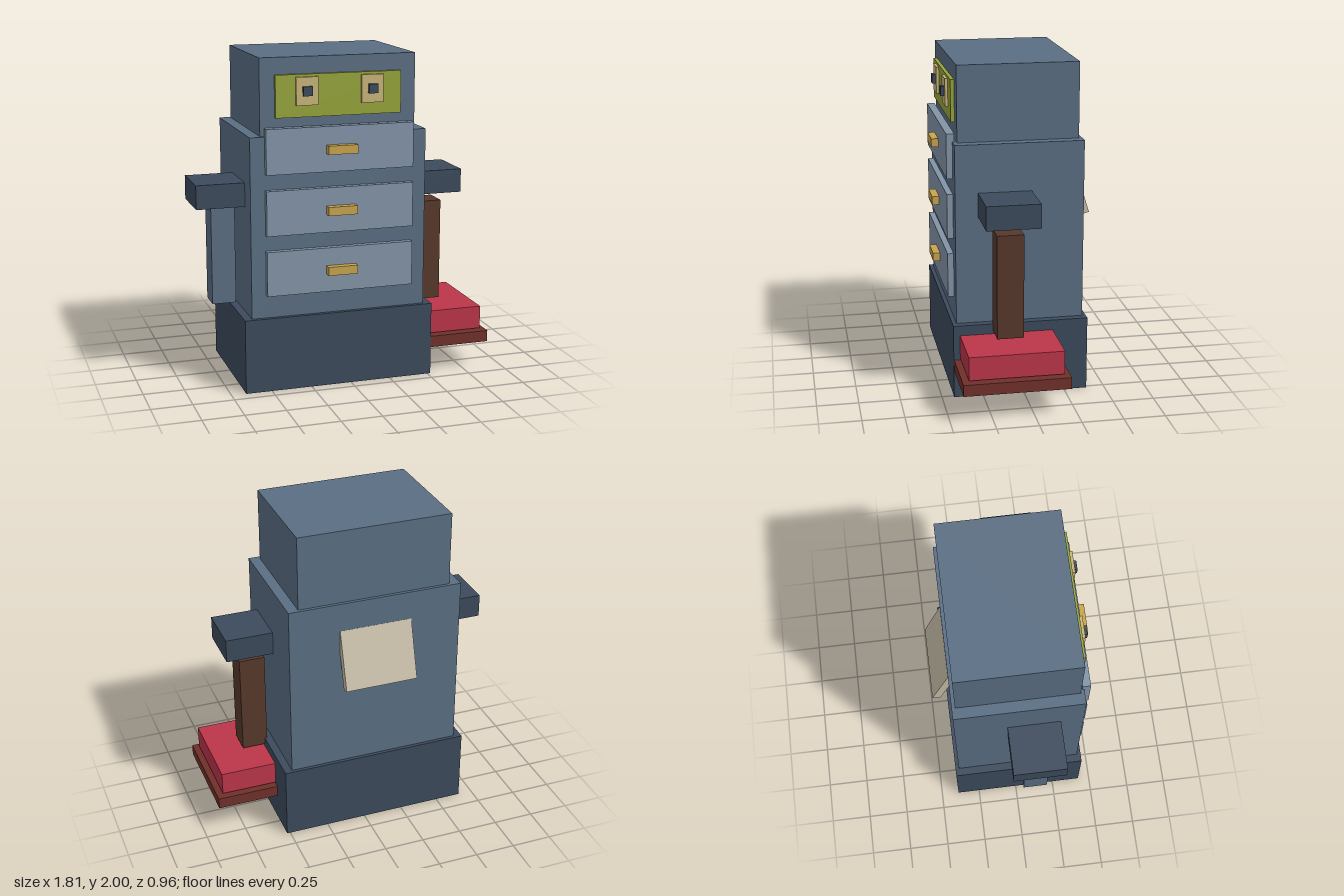
import * as THREE from 'three';

const material = (name, color) => {
  const m = new THREE.MeshStandardMaterial({ color });
  m.name = name;
  return m;
};

export function createModel() {
  const steel = material('steel blue', 0x5a6e82);
  const navy = material('dark navy', 0x3c4a5c);
  const paleBlue = material('pale blue', 0x8294a8);
  const gold = material('gold', 0xc8a44e);
  const brown = material('brown', 0x56382b);
  const maroon = material('maroon', 0x70302a);
  const red = material('red', 0xba3549);
  const olive = material('olive', 0x96a43a);
  const sand = material('sand', 0xc8b478);
  const cream = material('cream', 0xc8bea8);

  const model = new THREE.Group();
  model.name = 'drawerRobot';

  // Box given by its extents along each axis
  function box(name, mat, [x0, x1], [y0, y1], [z0, z1]) {
    const mesh = new THREE.Mesh(new THREE.BoxGeometry(x1 - x0, y1 - y0, z1 - z0), mat);
    mesh.position.set((x0 + x1) / 2, (y0 + y1) / 2, (z0 + z1) / 2);
    mesh.name = name;
    model.add(mesh);
    return mesh;
  }

  // Stacked cabinet
  box('base', navy, [-0.66, 0.52], [0, 0.455], [-0.39, 0.427]);
  box('body', steel, [-0.612, 0.472], [0.455, 1.545], [-0.368, 0.402]);
  box('head', steel, [-0.545, 0.407], [1.545, 2], [-0.348, 0.378]);

  // Drawers with handles
  [0.73, 1.095, 1.46].forEach((y, i) => {
    box(`drawer${i + 1}`, paleBlue, [-0.524, 0.382], [y - 0.135, y + 0.135], [0.39, 0.438]);
    box(`drawerHandle${i + 1}`, gold, [-0.16, 0.022], [y - 0.026, y + 0.026], [0.438, 0.481]);
  });

  // Face plate and eyes
  box('facePlate', olive, [-0.456, 0.312], [1.65, 1.9], [0.378, 0.4]);
  for (const [side, x] of [['right', -0.269], ['left', 0.13]]) {
    box(`${side}Eye`, sand, [x - 0.067, x + 0.067], [1.72, 1.885], [0.4, 0.417]);
    box(`${side}Pupil`, navy, [x - 0.028, x + 0.028], [1.776, 1.831], [0.417, 0.437]);
  }

  // Shoulders and hanging arms
  box('rightShoulder', navy, [-0.905, -0.612], [1.11, 1.255], [-0.053, 0.267]);
  box('leftShoulder', navy, [0.472, 0.765], [1.11, 1.255], [-0.053, 0.267]);
  box('rightArm', steel, [-0.8, -0.655], [0.5, 1.11], [0.03, 0.18]);
  box('leftArm', brown, [0.505, 0.665], [0.413, 1.047], [0.028, 0.188]);

  // Cushion on its side tray
  box('tray', maroon, [0.5, 0.902], [0.17, 0.24], [-0.211, 0.425]);
  box('cushion', red, [0.5, 0.865], [0.25, 0.393], [-0.176, 0.388]);

  // Tilted flap on the back
  const flap = box('backFlap', cream, [-0.296, 0.156], [0.998, 1.368], [-0.425, -0.375]);
  flap.rotation.x = 0.3;

  return model;
}
